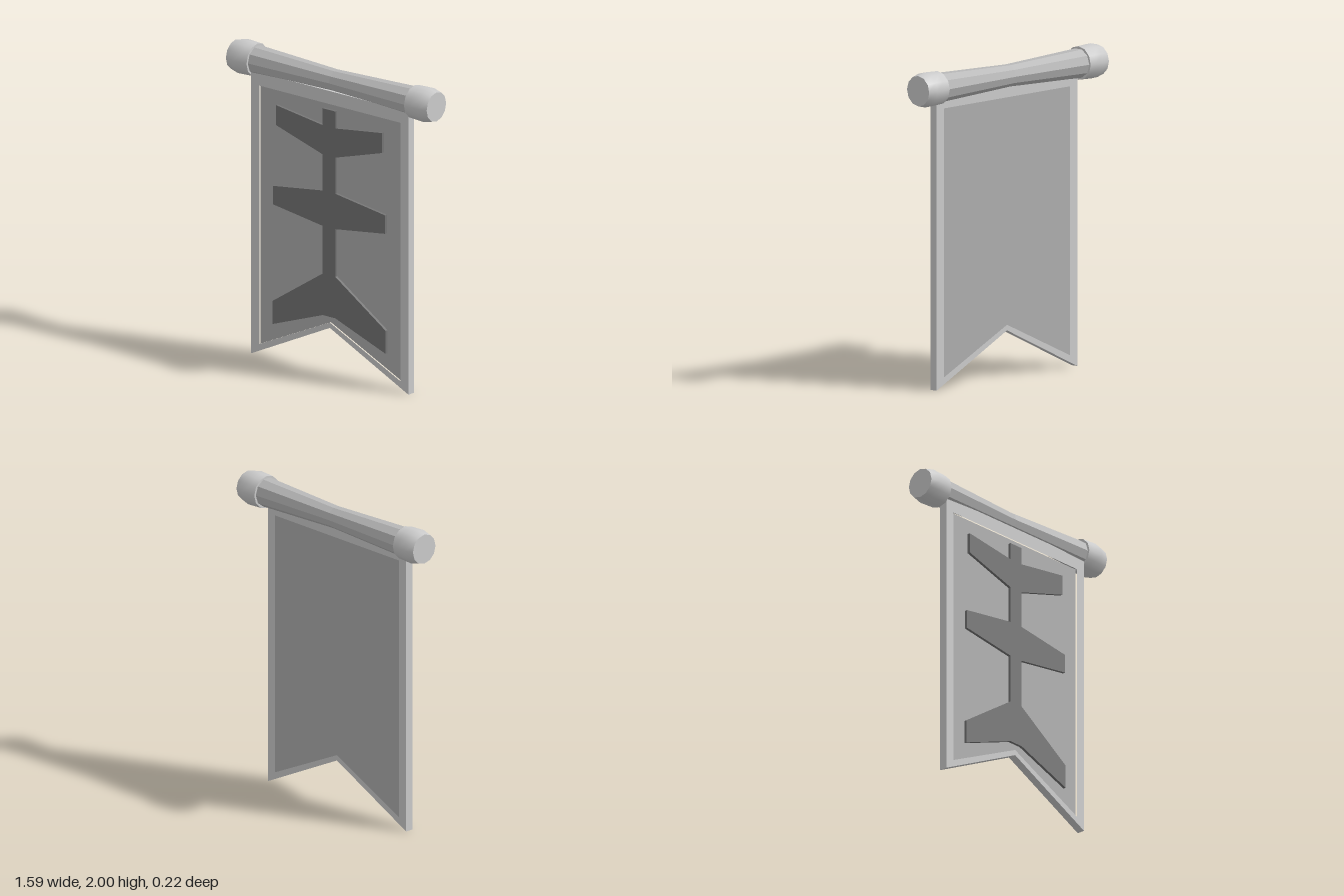
import * as THREE from 'three';

const grey = (color) => new THREE.MeshStandardMaterial({ color, flatShading: true });

function add(group, name, geometry, material) {
  const mesh = new THREE.Mesh(geometry, material);
  mesh.name = name;
  group.add(mesh);
  return mesh;
}

// Mirrors the +x half of an outline, listed from top to bottom
function mirrored(half) {
  const left = half.map(([x, y]) => [-x, y]).reverse().filter(([x]) => x !== 0);
  return [...half, ...left].map(([x, y]) => new THREE.Vector2(x, y));
}

function slab(shape, back, front) {
  return new THREE.ExtrudeGeometry(shape, { depth: front - back, bevelEnabled: false })
    .translate(0, 0, back);
}

// Solid turned about the x axis from [radius, x] pairs
function turned(profile, sides, phase = 0) {
  const points = profile.map(([r, x]) => new THREE.Vector2(r, x));
  return new THREE.LatheGeometry(points, sides, phase).rotateZ(-Math.PI / 2);
}

export function createModel() {
  const model = new THREE.Group();
  model.name = 'banner';
  const light = grey(0xcccccc);
  const poleY = 1.893;

  // Swallow-tailed cloth: border frame around a thinner panel
  const inner = mirrored([[0.56, 1.755], [0.56, 0.075], [0, 0.335]]);
  const border = new THREE.Shape(mirrored([[0.625, 1.84], [0.625, 0], [0, 0.3]]));
  border.holes.push(new THREE.Path(inner));
  add(model, 'border', slab(border, 0.008, 0.06), light);
  add(model, 'panel', slab(new THREE.Shape(inner), 0.008, 0.05), grey(0xaeaeae));

  // Raised emblem: a stem with three pairs of arms
  const emblem = mirrored([
    [0.05, 1.72], [0.05, 1.61], [0.42, 1.66], [0.42, 1.53], [0.05, 1.42],
    [0.05, 1.185], [0.445, 1.13], [0.445, 1.01], [0.05, 0.955],
    [0.05, 0.645], [0.45, 0.38], [0.45, 0.23], [0.05, 0.375],
  ]);
  add(model, 'emblem', slab(new THREE.Shape(emblem), 0.045, 0.068), grey(0x747474));

  // Ten-sided pole with a narrow waist
  const pole = turned([[0, -0.64], [0.093, -0.64], [0.07, 0], [0.093, 0.64], [0, 0.64]], 10);
  add(model, 'pole', pole, grey(0xb8b8b8)).position.y = poleY;

  // Barrel-shaped end caps, smooth round the sides and flat at the ends
  const smooth = new THREE.MeshStandardMaterial({ color: 0xcccccc });
  for (const side of [1, -1]) {
    const cap = new THREE.Group();
    cap.name = side > 0 ? 'leftCap' : 'rightCap';
    add(cap, 'capBarrel', turned([[0.105, 0.625], [0.107, 0.67], [0.11, 0.735], [0.095, 0.797]], 12), smooth);
    add(cap, 'capInnerEnd', turned([[0, 0.625], [0.105, 0.625]], 12), light);
    add(cap, 'capOuterEnd', turned([[0.095, 0.797], [0, 0.797]], 12), light);
    cap.position.y = poleY;
    if (side < 0) cap.rotation.y = Math.PI;
    model.add(cap);
  }
  return model;
}
